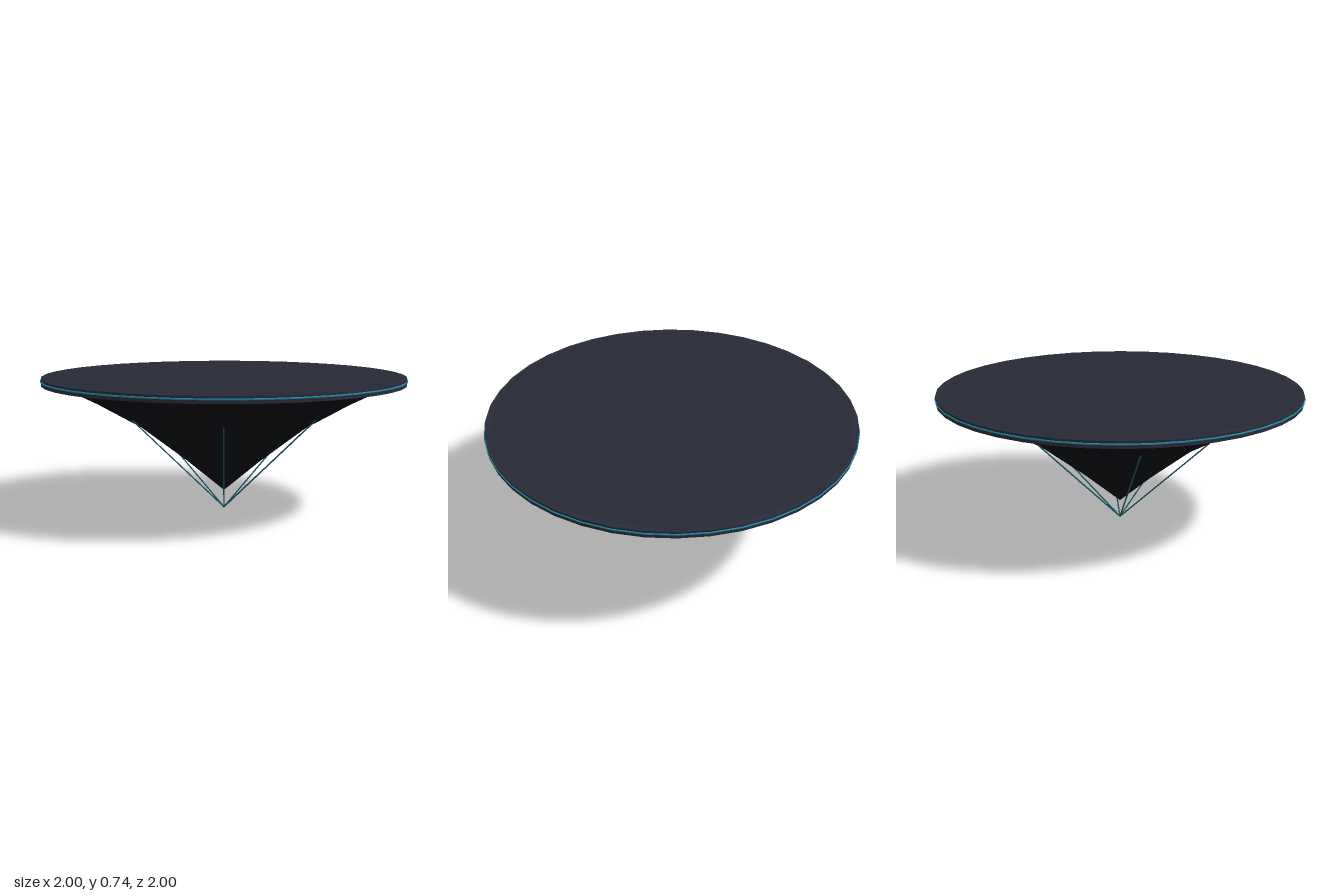
import * as THREE from 'three';

const SIDES = 40;

function makeMesh(name, geometry, color, side = THREE.FrontSide) {
  const mesh = new THREE.Mesh(geometry, new THREE.MeshStandardMaterial({ color, side }));
  mesh.name = name;
  return mesh;
}

const profile = (points) => points.map(([r, y]) => new THREE.Vector2(r, y));

export function createModel() {
  const model = new THREE.Group();
  model.name = 'floatingPlatform';

  // Flat round deck
  const deck = makeMesh('deck', new THREE.CylinderGeometry(0.985, 0.97, 0.036, SIDES), 0x262935);
  deck.position.y = 0.72;
  model.add(deck);

  // Raised band around the deck edge
  const band = new THREE.LatheGeometry(
    profile([[0.965, 0.7], [0.995, 0.7], [0.995, 0.738], [0.965, 0.738]]), SIDES).toNonIndexed();
  band.computeVertexNormals();
  model.add(makeMesh('rim', band, 0x2a2b39));

  // Thin light line around the rim
  const line = makeMesh('rimLight', new THREE.TorusGeometry(0.995, 0.005, 6, SIDES), 0x1c8fa8);
  line.rotation.x = Math.PI / 2;
  line.position.y = 0.722;
  model.add(line);

  // Twelve-sided tapering underside
  const hull = new THREE.LatheGeometry(
    profile([[0, 0.1], [0.21, 0.275], [0.46, 0.465], [0.7, 0.6], [0.91, 0.703]]), 12);
  model.add(makeMesh('underside', hull, 0x0c0d12, THREE.DoubleSide));

  // Six struts meeting at a point below the underside
  const struts = new THREE.Group();
  struts.name = 'struts';
  const foot = new THREE.Vector3(0, 0.004, 0);
  for (let i = 0; i < 6; i++) {
    const a = THREE.MathUtils.degToRad(43 + i * 60);
    const top = new THREE.Vector3(0.56 * Math.cos(a), 0.53, 0.56 * Math.sin(a));
    const path = new THREE.LineCurve3(foot, top);
    struts.add(makeMesh('strut', new THREE.TubeGeometry(path, 1, 0.004, 6), 0x1d5a68, THREE.DoubleSide));
  }
  model.add(struts);

  return model;
}
